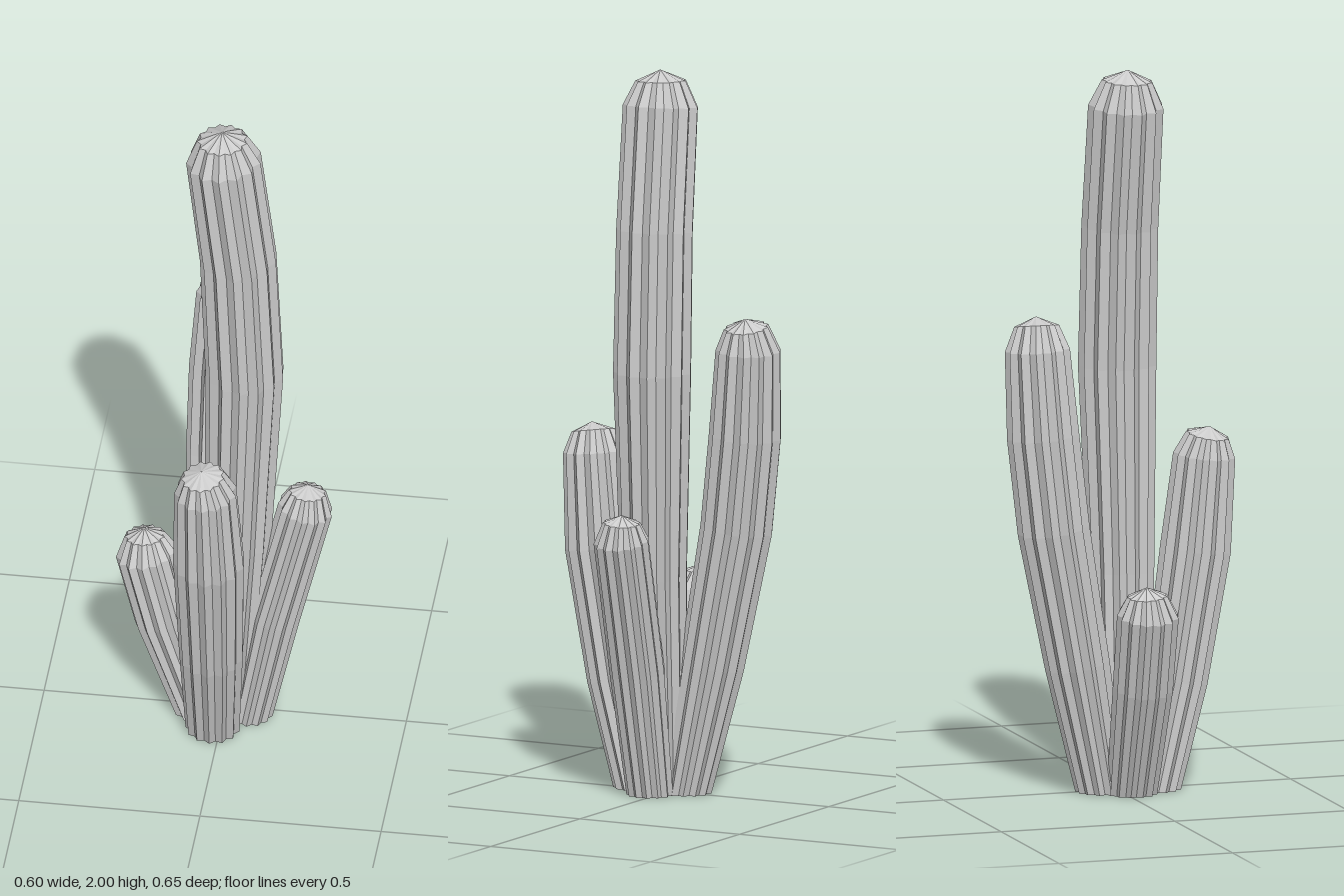
import * as THREE from 'three';

const RIBS = 13, SIDES = RIBS * 2, GROOVE = 0.86;

// Ribbed stem swept through rings [x, y, z, radius], with a closed base and a pointed cap
function makeStem(name, rings, apex) {
  const pos = [], index = [];
  const centres = rings.map(r => new THREE.Vector3(r[0], r[1], r[2]));
  const tip = new THREE.Vector3(...apex);
  const up = new THREE.Vector3(0, 1, 0);
  rings.forEach((ring, i) => {
    // Each ring is square to the stem, except the flat base
    const next = i < rings.length - 1 ? centres[i + 1] : tip;
    const dir = i === 0 ? up : next.clone().sub(centres[i - 1]).normalize();
    const turn = new THREE.Quaternion().setFromUnitVectors(up, dir);
    for (let k = 0; k < SIDES; k++) {
      const a = k / SIDES * Math.PI * 2;
      const r = ring[3] * (k % 2 ? GROOVE : 1);
      const p = new THREE.Vector3(Math.sin(a) * r, 0, Math.cos(a) * r);
      pos.push(...p.applyQuaternion(turn).add(centres[i]).toArray());
    }
  });
  const base = rings.length * SIDES, top = base + 1;
  pos.push(...centres[0].toArray(), ...apex);
  const last = (rings.length - 1) * SIDES;
  for (let k = 0; k < SIDES; k++) {
    const n = (k + 1) % SIDES;
    for (let i = 0; i < rings.length - 1; i++) {
      const a = i * SIDES + k, b = i * SIDES + n;
      index.push(a, b, b + SIDES, a, b + SIDES, a + SIDES);
    }
    index.push(base, n, k, top, last + k, last + n);
  }
  const geo = new THREE.BufferGeometry();
  geo.setAttribute('position', new THREE.Float32BufferAttribute(pos, 3));
  geo.setIndex(index);
  const flat = geo.toNonIndexed();
  flat.computeVertexNormals();
  const mesh = new THREE.Mesh(flat, new THREE.MeshStandardMaterial({ color: 0xcccccc, flatShading: true }));
  mesh.name = name;
  return mesh;
}

export function createModel() {
  const group = new THREE.Group();
  group.name = 'cactus';
  group.add(
    makeStem('mainStem', [
      [0.01, 0, 0.02, 0.075], [0.04, 0.6, 0.025, 0.092], [0.057, 1.17, 0.02, 0.108],
      [0.04, 1.56, 0.022, 0.106], [0, 1.9, 0.026, 0.104], [-0.004, 1.97, 0.028, 0.07],
    ], [-0.005, 2, 0.03]),
    makeStem('backStem', [
      [-0.01, 0, -0.05, 0.07], [-0.025, 0.36, -0.122, 0.09], [-0.034, 0.74, -0.193, 0.1],
      [-0.03, 1, -0.222, 0.1], [-0.022, 1.24, -0.236, 0.09], [-0.012, 1.305, -0.235, 0.062],
    ], [-0.005, 1.33, -0.235]),
    makeStem('frontStem', [
      [-0.02, 0, 0.1, 0.075], [-0.015, 0.3, 0.165, 0.088], [-0.014, 0.66, 0.222, 0.098],
      [-0.02, 0.92, 0.245, 0.086], [-0.027, 0.977, 0.252, 0.06],
    ], [-0.03, 1, 0.258]),
    makeStem('rightStem', [
      [-0.07, 0, 0.02, 0.07], [-0.165, 0.31, 0.02, 0.083],
      [-0.215, 0.52, 0.018, 0.085], [-0.22, 0.575, 0.014, 0.056],
    ], [-0.222, 0.6, 0.012]),
    makeStem('leftStem', [
      [0.07, 0, 0.02, 0.065], [0.135, 0.35, 0.024, 0.076],
      [0.225, 0.725, 0.024, 0.076], [0.23, 0.778, 0.02, 0.052],
    ], [0.232, 0.8, 0.018]),
  );
  return group;
}
